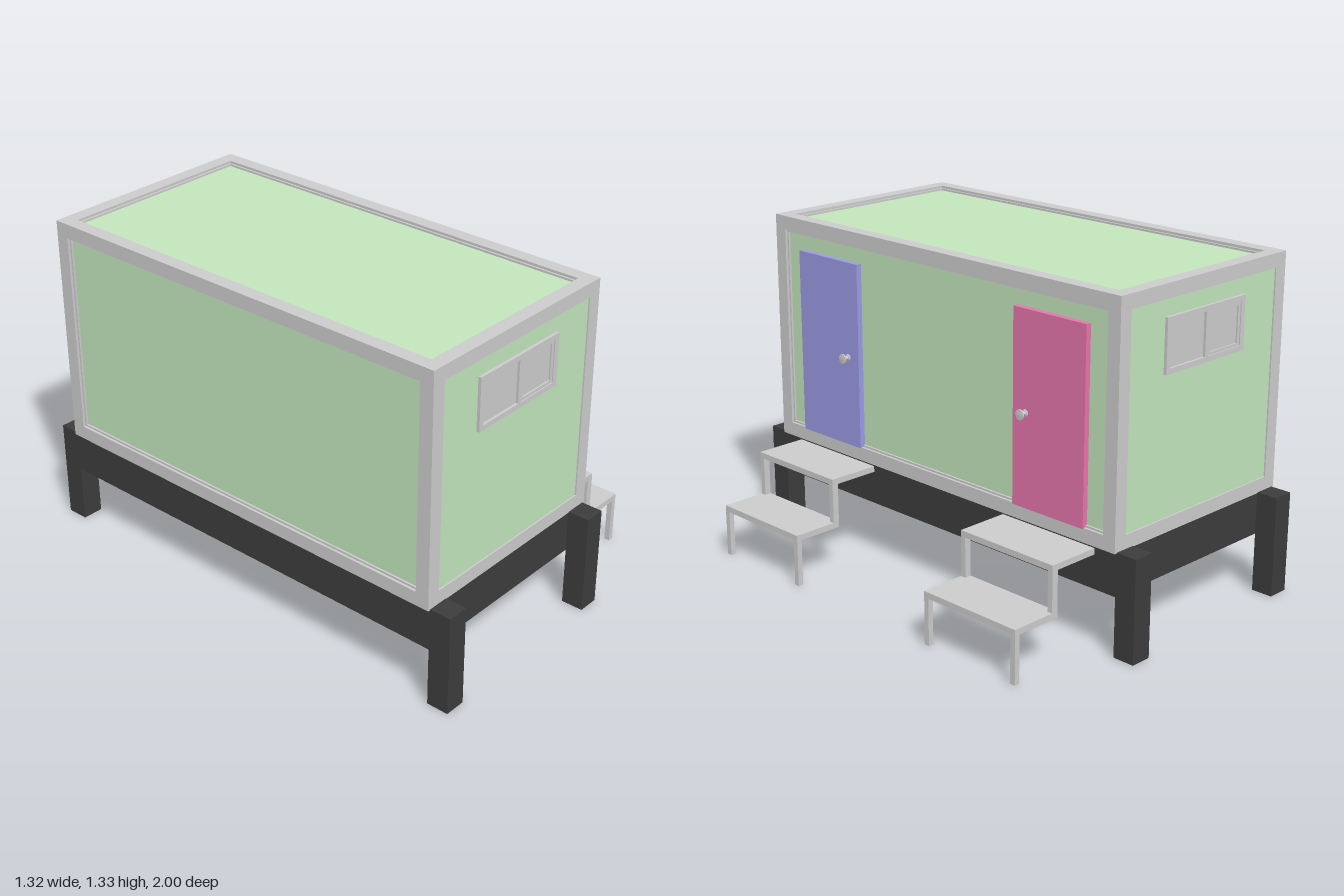
import * as THREE from 'three';

const material = (color) => new THREE.MeshStandardMaterial({ color });

export function createModel() {
  const model = new THREE.Group();
  model.name = 'portableCabin';
  const grey = material(0xcccccc);
  const green = material(0xc2e5bc);
  const dark = material(0x3c3c3c);
  const blue = material(0x9a9ae4);
  const pink = material(0xe575ab);

  // Box given by its extents on each axis
  const box = (parent, name, mat, [x0, x1], [y0, y1], [z0, z1]) => {
    const mesh = new THREE.Mesh(new THREE.BoxGeometry(x1 - x0, y1 - y0, z1 - z0), mat);
    mesh.position.set((x0 + x1) / 2, (y0 + y1) / 2, (z0 + z1) / 2);
    mesh.name = name;
    parent.add(mesh);
    return mesh;
  };

  const group = (name) => {
    const g = new THREE.Group();
    g.name = name;
    model.add(g);
    return g;
  };

  // Rectangular plate with rectangular holes, centred, rising from z = 0
  const rectPath = (path, x0, x1, y0, y1) =>
    path.moveTo(x0, y0).lineTo(x1, y0).lineTo(x1, y1).lineTo(x0, y1).closePath();
  const plate = (w, h, depth, holes) => {
    const shape = new THREE.Shape();
    rectPath(shape, -w / 2, w / 2, -h / 2, h / 2);
    for (const hole of holes) {
      const path = new THREE.Path();
      rectPath(path, ...hole);
      shape.holes.push(path);
    }
    return new THREE.ExtrudeGeometry(shape, { depth, bevelEnabled: false });
  };

  // Base slab and corner legs
  const base = group('base');
  box(base, 'baseSlab', dark, [-0.65, 0.255], [0.235, 0.402], [-0.91, 0.91]);
  for (const x of [-0.65, 0.168])
    for (const z of [-1, 0.91])
      box(base, 'baseLeg', dark, [x, x + 0.087], [0, 0.405], [z, z + 0.09]);

  // Cabin body, whose faces show as recessed wall panels
  const X = [-0.66, 0.265], Y = [0.402, 1.33], Z = [-0.912, 0.912];
  const cx = (X[0] + X[1]) / 2, cy = (Y[0] + Y[1]) / 2;
  const t = 0.056;
  box(model, 'wallPanels', green, [X[0] + 0.018, X[1] - 0.018], [Y[0] + 0.01, Y[1] - 0.018], [-0.906, 0.906]);

  // Frame bars along all twelve edges
  const frame = group('cabinFrame');
  const ends = ([a, b]) => [[a, a + t], [b - t, b]];
  for (const y of ends(Y)) for (const z of ends(Z)) box(frame, 'crossBar', grey, X, y, z);
  for (const x of ends(X)) for (const z of ends(Z)) box(frame, 'cornerPost', grey, x, [Y[0] + t, Y[1] - t], z);
  for (const x of ends(X)) for (const y of ends(Y)) box(frame, 'longBar', grey, x, y, [Z[0] + t, Z[1] - t]);

  // Thin inner trim around the long walls and the roof
  const trim = (w, h) => {
    const lip = 0.008;
    const geometry = plate(w, h, 0.01, [[-w / 2 + lip, w / 2 - lip, -h / 2 + lip, h / 2 - lip]]);
    const mesh = new THREE.Mesh(geometry, grey);
    mesh.name = 'panelTrim';
    frame.add(mesh);
    return mesh;
  };
  const innerW = X[1] - X[0] - 2 * t, innerH = Y[1] - Y[0] - 2 * t, innerL = Z[1] - Z[0] - 2 * t;
  for (const s of [-1, 1]) {
    const side = trim(innerL, innerH);
    side.rotation.y = s * Math.PI / 2;
    side.position.set(s > 0 ? X[1] - 0.02 : X[0] + 0.02, cy, 0);
  }
  const roof = trim(innerW, innerL);
  roof.rotation.x = -Math.PI / 2;
  roof.position.set(cx, Y[1] - 0.02, 0);

  // Sliding windows, one on each end wall
  for (const s of [1, -1]) {
    const win = group(s > 0 ? 'frontWindow' : 'backWindow');
    const add = (name, geometry, x, z) => {
      const mesh = new THREE.Mesh(geometry, grey);
      mesh.name = name;
      mesh.position.set(x, 0, z);
      win.add(mesh);
    };
    add('windowFrame', plate(0.44, 0.208, 0.02, [[-0.2, -0.005, -0.084, 0.084], [0.012, 0.197, -0.084, 0.084]]), 0, -0.002);
    add('windowPane', new THREE.BoxGeometry(0.42, 0.19, 0.008), 0, 0.004);
    add('slidingSash', plate(0.185, 0.168, 0.006, [[-0.08, 0.08, -0.072, 0.072]]), 0.1045, 0.008);
    win.position.set(cx, 1.106, s * 0.9);
    win.rotation.y = s > 0 ? 0 : Math.PI;
  }

  // Doors, knobs and steps, mirrored along the right wall
  const knobProfile = [[0, 0], [0.014, 0], [0.014, 0.004], [0.007, 0.007], [0.007, 0.025],
    [0.02, 0.027], [0.02, 0.032], [0, 0.034]].map(([r, y]) => new THREE.Vector2(r, y));
  for (const s of [1, -1]) {
    const span = (a, b) => (s > 0 ? [a, b] : [-b, -a]);
    const door = group(s > 0 ? 'frontDoor' : 'backDoor');
    box(door, 'doorLeaf', s > 0 ? blue : pink, [0.24, 0.27], [0.455, 1.205], span(0.42, 0.765));
    const knobGeometry = new THREE.LatheGeometry(knobProfile, 24).toNonIndexed();
    knobGeometry.computeVertexNormals();
    const knob = new THREE.Mesh(knobGeometry, grey);
    knob.name = 'doorKnob';
    knob.rotation.z = -Math.PI / 2;
    knob.position.set(0.269, 0.82, s * 0.482);
    door.add(knob);

    const steps = group(s > 0 ? 'frontSteps' : 'backSteps');
    box(steps, 'upperTread', grey, [0.255, 0.472], [0.368, 0.392], span(0.358, 0.81));
    box(steps, 'lowerTread', grey, [0.445, 0.657], [0.187, 0.211], span(0.358, 0.81));
    for (const z of [0.358, 0.788]) {
      box(steps, 'upperPost', grey, [0.445, 0.472], [0.211, 0.368], span(z, z + 0.022));
      box(steps, 'lowerPost', grey, [0.635, 0.657], [0, 0.187], span(z, z + 0.022));
    }
  }
  return model;
}
